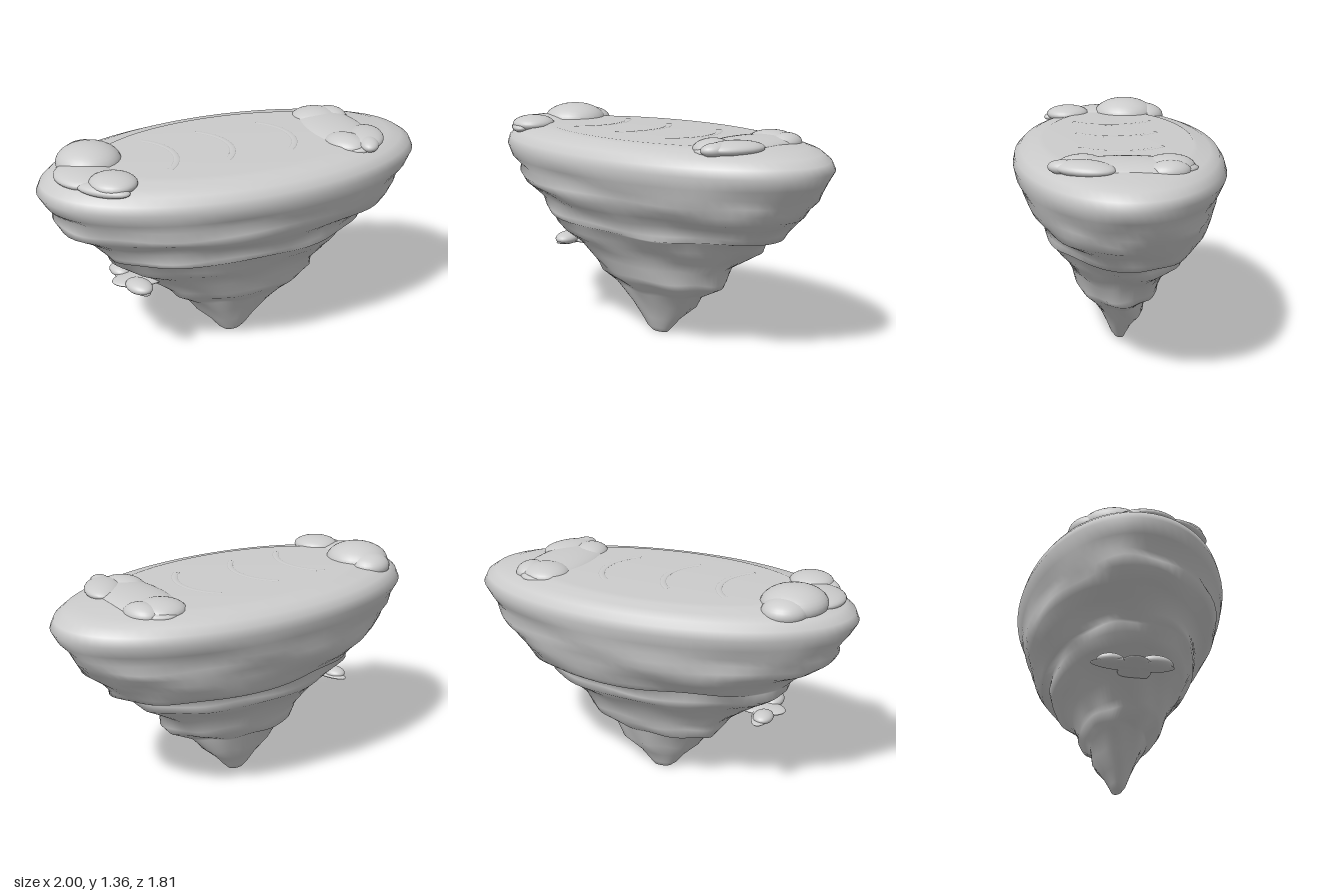
import * as THREE from 'three';

const SKEW = 2.16; // phase between x and z that turns each ring into a diagonal ellipse
const SEG = 72;

// Each ring: height, min x, max x, min z, max z
const RINGS = [
  [0, -0.05, 0.04, -0.05, 0.04],
  [0.03, -0.08, 0.07, -0.07, 0.07],
  [0.1, -0.13, 0.12, -0.12, 0.11],
  [0.19, -0.21, 0.2, -0.21, 0.17],
  [0.28, -0.27, 0.28, -0.235, 0.23],
  [0.3, -0.33, 0.31, -0.26, 0.25],
  [0.36, -0.355, 0.4, -0.355, 0.33],
  [0.4, -0.37, 0.435, -0.37, 0.35],
  [0.48, -0.45, 0.445, -0.4, 0.42],
  [0.55, -0.53, 0.52, -0.48, 0.48],
  [0.6, -0.61, 0.57, -0.56, 0.56],
  [0.645, -0.67, 0.62, -0.57, 0.6],
  [0.7, -0.68, 0.66, -0.58, 0.63],
  [0.71, -0.69, 0.71, -0.68, 0.65],
  [0.74, -0.71, 0.71, -0.7, 0.665],
  [0.8, -0.78, 0.765, -0.74, 0.68],
  [0.85, -0.86, 0.85, -0.77, 0.74],
  [0.9, -0.9, 0.88, -0.8, 0.81],
  [0.95, -0.91, 0.91, -0.83, 0.84],
  [1.0, -0.93, 0.93, -0.83, 0.82],
  [1.06, -0.96, 0.97, -0.87, 0.88],
  [1.13, -1, 1, -0.905, 0.905],
  [1.18, -0.98, 0.98, -0.885, 0.89],
  [1.22, -0.94, 0.93, -0.84, 0.84],
  [1.245, -0.85, 0.85, -0.77, 0.77],
  [1.255, -0.74, 0.75, -0.67, 0.68],
  [1.268, -0.71, 0.7, -0.63, 0.64],
];

// Lofted rock: diagonal elliptical rings with a slight weathered wobble
function rockGeometry() {
  const pos = [], index = [];
  const first = RINGS[0], last = RINGS[RINGS.length - 1];
  const rows = [[first[0], 0, 0, 0, 0], ...RINGS, [last[0], 0, 0, 0, 0]];
  rows.forEach(([y, x0, x1, z0, z1]) => {
    const wobble = y > 0.1 && y < 1.02 ? 0.012 : 0;
    for (let j = 0; j < SEG; j++) {
      const t = (j / SEG) * Math.PI * 2;
      const n = 1 + wobble * (Math.sin(5 * t + y * 17) + 0.6 * Math.sin(11 * t - y * 31));
      pos.push(
        (x0 + x1) / 2 + ((x1 - x0) / 2) * n * Math.cos(t),
        y + wobble * 0.5 * Math.sin(7 * t + y * 23),
        (z0 + z1) / 2 + ((z1 - z0) / 2) * n * Math.cos(t + SKEW));
    }
  });
  for (let i = 0; i < rows.length - 1; i++) {
    for (let j = 0; j < SEG; j++) {
      const k = (j + 1) % SEG;
      const a = i * SEG + j, b = i * SEG + k, c = a + SEG, d = b + SEG;
      if (i > 0) index.push(a, b, c);
      if (i === 0) index.push(a, d, c);
      else if (i < rows.length - 2) index.push(b, d, c);
    }
  }
  const geo = new THREE.BufferGeometry();
  geo.setAttribute('position', new THREE.Float32BufferAttribute(pos, 3));
  geo.setIndex(index);
  geo.computeVertexNormals();
  return geo;
}

export function createModel() {
  const model = new THREE.Group();
  const mat = new THREE.MeshStandardMaterial({ color: 0xcccccc });

  const rock = new THREE.Mesh(rockGeometry(), mat);
  rock.name = 'islandRock';
  model.add(rock);

  // Squashed rounded stones; long axis turned by yaw
  const ball = new THREE.SphereGeometry(1, 28, 18);
  function stones(name, list) {
    const group = new THREE.Group();
    group.name = name;
    list.forEach(([x, y, z, rx, ry, rz, yaw = 0]) => {
      const m = new THREE.Mesh(ball, mat);
      m.name = name + 'Stone';
      m.position.set(x, y, z);
      m.scale.set(rx, ry, rz);
      m.rotation.y = yaw;
      group.add(m);
    });
    model.add(group);
  }

  // Low mound at the back left end of the plateau
  stones('backMound', [
    [0.53, 1.245, -0.42, 0.4, 0.055, 0.19, -0.93],
    [0.37, 1.25, -0.6, 0.15, 0.06, 0.14],
    [0.46, 1.245, -0.66, 0.12, 0.06, 0.09, -0.7],
    [0.64, 1.25, -0.2, 0.14, 0.06, 0.11, -0.5],
    [0.74, 1.265, -0.3, 0.11, 0.045, 0.18, 0.2],
    [0.78, 1.265, -0.19, 0.06, 0.04, 0.09, 0.3],
  ]);

  // Taller mound at the front right end
  stones('frontMound', [
    [-0.73, 1.25, 0.46, 0.19, 0.105, 0.2, 0.4],
    [-0.8, 1.24, 0.36, 0.13, 0.08, 0.14],
    [-0.68, 1.24, 0.64, 0.2, 0.05, 0.17, -0.7],
    [-0.47, 1.26, 0.74, 0.14, 0.053, 0.13, -0.4],
    [-0.5, 1.24, 0.81, 0.16, 0.035, 0.065, -0.1],
  ]);

  // Thin ledge jutting from the lower slope, with a knob at each end
  stones('lowerLedge', [
    [-0.51, 0.502, 0.44, 0.24, 0.02, 0.07, -0.785],
    [-0.42, 0.52, 0.54, 0.1, 0.04, 0.07, -0.6],
    [-0.61, 0.515, 0.36, 0.08, 0.035, 0.06, -0.785],
    [-0.46, 0.505, 0.42, 0.17, 0.025, 0.1, 0.6],
  ]);

  // Shallow curved ripples across the plateau
  const ripples = new THREE.Group();
  ripples.name = 'plateauRipples';
  [-0.45, -0.1, 0.3].forEach((s) => {
    const r = new THREE.Mesh(new THREE.TorusGeometry(0.32, 0.02, 8, 24, 1.7), mat);
    r.name = 'ripple';
    r.rotation.set(-Math.PI / 2, 0, -0.85);
    r.scale.z = 0.2;
    const holder = new THREE.Group();
    holder.add(r);
    holder.rotation.y = 0.69;
    holder.position.set((s - 0.25) * 0.77, 1.267, -(s - 0.25) * 0.64);
    ripples.add(holder);
  });
  model.add(ripples);

  return model;
}
